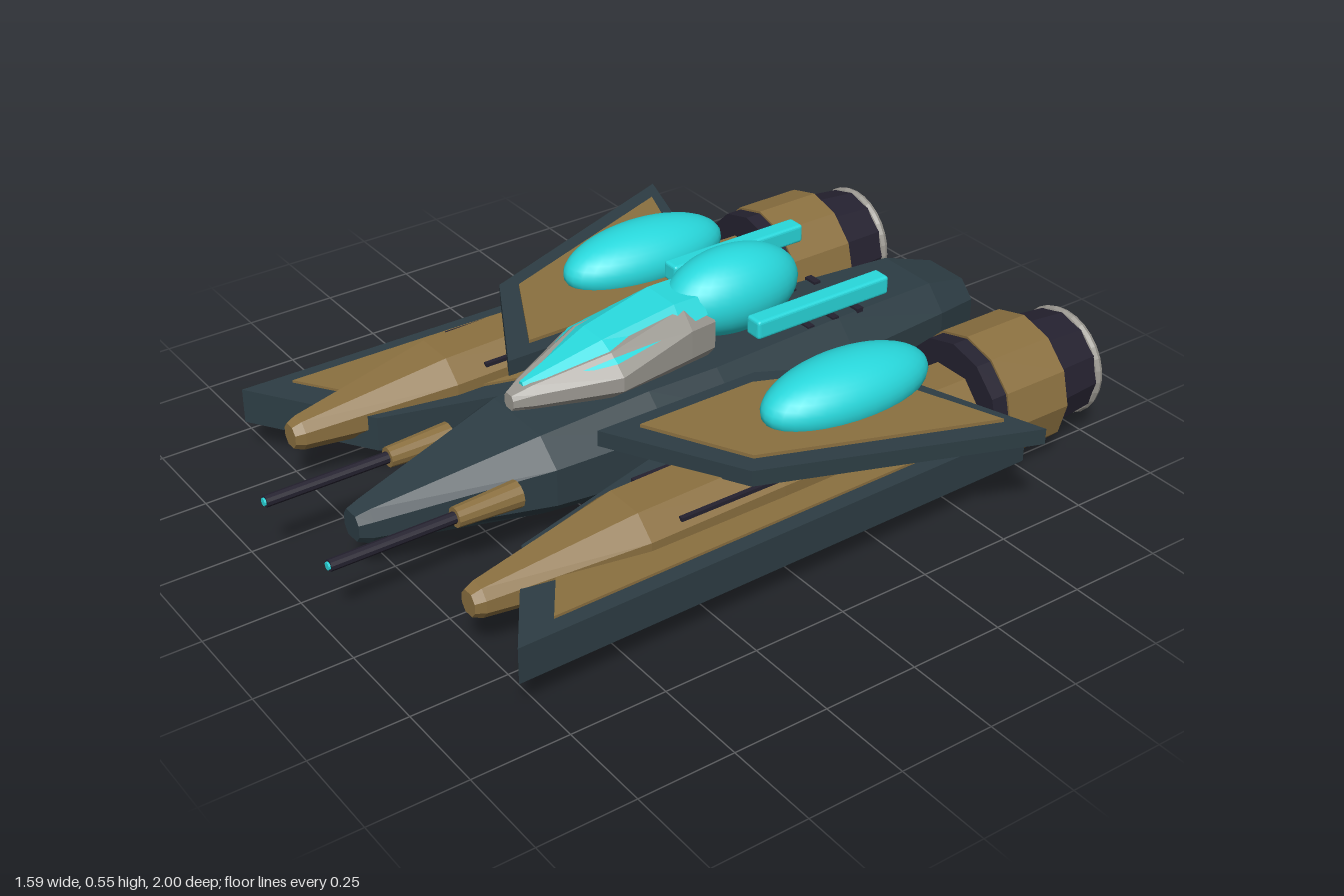
import * as THREE from 'three';
import { RoundedBoxGeometry } from 'three/addons/geometries/RoundedBoxGeometry.js';

const mat = (name, color, flatShading = true) => {
  const m = new THREE.MeshStandardMaterial({ color, flatShading });
  m.name = name;
  return m;
};

// Octagonal ring with half width w between bottom and top; fx, fy are the flat fractions
function ring(z, w, bottom, top, fx = 0.6, fy = 0.45) {
  const c = (top + bottom) / 2, h = (top - bottom) / 2;
  const pts = [[1, -fy], [1, fy], [fx, 1], [-fx, 1], [-1, fy], [-1, -fy], [-fx, -1], [fx, -1]];
  return pts.map(([x, y]) => [x * w, c + y * h, z]);
}

// Skin over rings ordered from back to front, closed at both ends
function loft(rings) {
  const p = [], n = rings[0].length;
  const tri = (a, b, c) => p.push(...a, ...b, ...c);
  for (let i = 0; i < rings.length - 1; i++) {
    for (let j = 0; j < n; j++) {
      const k = (j + 1) % n, A = rings[i], B = rings[i + 1];
      tri(A[j], A[k], B[k]);
      tri(A[j], B[k], B[j]);
    }
  }
  const first = rings[0], last = rings[rings.length - 1];
  for (let j = 1; j < n - 1; j++) {
    tri(first[0], first[j + 1], first[j]);
    tri(last[0], last[j], last[j + 1]);
  }
  const g = new THREE.BufferGeometry();
  g.setAttribute('position', new THREE.Float32BufferAttribute(p, 3));
  g.computeVertexNormals();
  return g;
}

// Horizontal plate from an (x, z) outline
function plate(points, y, depth, side) {
  const shape = new THREE.Shape(points.map(([x, z]) => new THREE.Vector2(x * side, -z)));
  return new THREE.ExtrudeGeometry(shape, { depth, bevelEnabled: false })
    .rotateX(-Math.PI / 2).translate(0, y, 0);
}

// Cylinder along z from z0 to z1
function tube(r0, r1, z0, z1, sides = 12) {
  return new THREE.CylinderGeometry(r1, r0, z1 - z0, sides)
    .rotateX(Math.PI / 2).translate(0, 0, (z0 + z1) / 2);
}

export function createModel() {
  const slate = mat('slate hull', 0x2d3d44);
  const bronze = mat('bronze panel', 0x8b7040);
  const dark = mat('dark metal', 0x252230);
  const glow = mat('cyan glass', 0x28d8dc);
  const dome = mat('cyan dome', 0x28d8dc, false);
  const grey = mat('grey trim', 0x9a9790);

  const model = new THREE.Group();
  model.name = 'spacecraft';
  const add = (name, geo, material, x = 0, y = 0, z = 0, parent = model) => {
    const m = new THREE.Mesh(geo, material);
    m.name = name;
    m.position.set(x, y, z);
    parent.add(m);
    return m;
  };
  const box = (w, h, d) => new THREE.BoxGeometry(w, h, d);

  // Fuselage
  add('fuselage', loft([
    ring(-0.96, 0.105, 0.11, 0.27), ring(-0.82, 0.145, 0.08, 0.31),
    ring(-0.5, 0.175, 0.06, 0.32), ring(-0.1, 0.207, 0.05, 0.32),
    ring(0.1, 0.2, 0.053, 0.32), ring(0.4, 0.172, 0.075, 0.295),
    ring(0.82, 0.045, 0.115, 0.21), ring(0.855, 0.035, 0.13, 0.2),
  ]), slate);

  // Canopy: grey frame and faceted glass
  add('canopyFrame', loft([
    ring(-0.12, 0.09, 0.31, 0.47), ring(-0.04, 0.105, 0.31, 0.478),
    ring(0.18, 0.133, 0.31, 0.435, 0.6, 0.3), ring(0.37, 0.045, 0.32, 0.385),
    ring(0.42, 0.02, 0.325, 0.365),
  ]), grey);
  const glassRing = (z, w, top, half, y) =>
    [[w, y, z], [half, top, z], [-half, top, z], [-w, y, z], [0, y - 0.03, z]];
  add('canopyGlass', loft([
    glassRing(-0.1, 0.085, 0.49, 0.055, 0.45), glassRing(-0.02, 0.09, 0.49, 0.055, 0.44),
    glassRing(0.18, 0.108, 0.452, 0.04, 0.417), glassRing(0.385, 0.012, 0.387, 0.005, 0.375),
  ]), glow);
  add('centreDome', new THREE.SphereGeometry(1, 32, 20).scale(0.11, 0.11, 0.193),
    dome, 0, 0.443, -0.235);

  // Belly hatch
  add('bellyHatch', new RoundedBoxGeometry(0.2, 0.04, 0.32, 2, 0.012), dark, 0, 0.037, -0.195);

  const upperOutline = [[0.195, 0.3], [0.54, 0.11], [0.795, -0.56], [0.32, -0.4], [0.195, -0.16]];
  const upperInset = [[0.24, 0.21], [0.5, 0.075], [0.715, -0.5], [0.34, -0.36], [0.24, -0.12]];
  const lowerOutline = [[0.645, 0.81], [0.33, 0.6], [0.19, 0.1], [0.17, -0.52], [0.625, -0.67]];
  const lowerInset = [[0.602, 0.69], [0.37, 0.53], [0.245, 0.08], [0.24, -0.43], [0.585, -0.56]];

  for (const s of [1, -1]) {
    const side = new THREE.Group();
    side.name = s > 0 ? 'leftSide' : 'rightSide';
    model.add(side);
    const put = (name, geo, material, x = 0, y = 0, z = 0) =>
      add(name, geo, material, x * s, y, z, side);

    // Wings with inset panels
    put('lowerWing', plate(lowerOutline, 0.1, 0.095, s), slate);
    put('lowerWingPanel', plate(lowerInset, 0.195, 0.007, s), bronze);
    put('lowerWingHatch', box(0.16, 0.008, 0.17), bronze, 0.45, 0.098, -0.18);
    put('upperWing', plate(upperOutline, 0.278, 0.042, s), slate);
    put('upperWingPanel', plate(upperInset, 0.32, 0.009, s), bronze);
    put('wingDome', new THREE.SphereGeometry(1, 32, 20).scale(0.111, 0.09, 0.243),
      dome, 0.418, 0.35, -0.262);

    // Nacelle
    put('nacelle', loft([
      ring(-0.62, 0.1, 0.1, 0.28, 0.5, 0.4), ring(0, 0.11, 0.105, 0.285, 0.5, 0.4),
      ring(0.38, 0.11, 0.105, 0.275, 0.5, 0.4), ring(0.77, 0.037, 0.13, 0.21, 0.5, 0.4),
      ring(0.795, 0.028, 0.14, 0.2, 0.5, 0.4),
    ]), bronze, 0.418);
    for (const e of [-1, 1]) {
      put('nacelleSlot', box(0.012, 0.01, 0.46), dark, 0.418 + e * 0.095, 0.245, 0.06);
      put('nacelleVent', box(0.03, 0.008, 0.02), dark, 0.418 + e * 0.045, 0.281, -0.48);
    }

    // Engine
    const engine = new THREE.Group();
    engine.name = 'engine';
    engine.position.set(0.418 * s, 0.183, 0);
    side.add(engine);
    const part = (name, geo, material) => add(name, geo, material, 0, 0, 0, engine);
    part('engineCollar', tube(0.172, 0.172, -0.66, -0.605), dark);
    part('engineBand', tube(0.178, 0.178, -0.84, -0.65), bronze);
    part('engineNozzle', tube(0.14, 0.155, -0.985, -0.83), dark);
    part('nozzleRing', new THREE.TorusGeometry(0.131, 0.014, 8, 28).translate(0, 0, -0.986), grey);
    part('exhaustGlow', tube(0.075, 0.075, -0.992, -0.98, 24), glow);
    for (let i = 0; i < 8; i++) {
      const fin = box(0.012, 0.03, 0.01).translate(0, 0.106, -0.986);
      part('nozzleFin', fin.rotateZ(i * Math.PI / 4), grey);
    }

    // Guns
    put('gunHousing', tube(0.035, 0.026, 0.5, 0.67), bronze, 0.155, 0.2);
    put('gunBarrel', tube(0.015, 0.015, 0.65, 0.995, 10), dark, 0.155, 0.2);
    put('gunTip', tube(0.01, 0.01, 0.99, 1, 10), glow, 0.155, 0.2);

    // Glowing bars, roof vents and belly rails
    put('glowBar', new RoundedBoxGeometry(0.05, 0.05, 0.41, 2, 0.008), glow, 0.172, 0.43, -0.375);
    for (const z of [-0.57, -0.49, -0.41]) {
      put('roofVent', box(0.038, 0.012, 0.02), dark, 0.087, 0.319, z);
    }
    put('bellyRail', box(0.015, 0.013, 0.19), grey, 0.113, 0.0115, -0.195);
  }
  return model;
}
